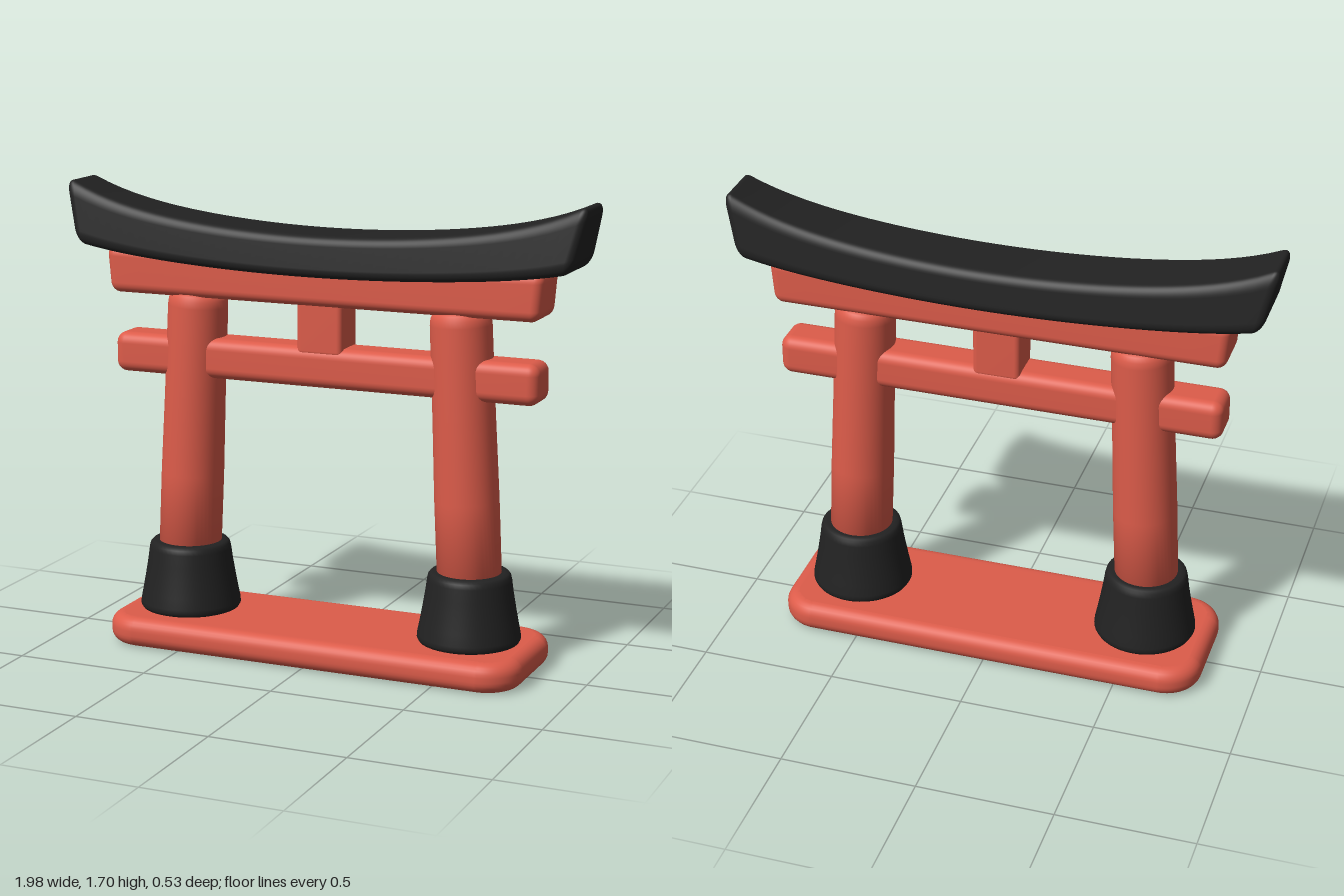
import * as THREE from 'three';
import { mergeVertices } from 'three/addons/utils/BufferGeometryUtils.js';

// Weld all seams and recompute smooth normals.
function smooth(geo) {
  geo.deleteAttribute('uv');
  geo.deleteAttribute('normal');
  const welded = mergeVertices(geo, 1e-5);
  welded.computeVertexNormals();
  return welded;
}

// Rounded block with lengthwise segments, optionally reshaped by a rule.
function roundedBlock(w, h, d, r, along = 1, bend = null) {
  const k = 5;
  const half = [w / 2, h / 2, d / 2];
  const segs = [along + 2 * k, 1 + 2 * k, 1 + 2 * k];
  const geo = new THREE.BoxGeometry(1, 1, 1, ...segs);
  const pos = geo.attributes.position;
  const p = new THREE.Vector3();
  const q = new THREE.Vector3();
  const place = (u, axis) => {
    const n = segs[axis], H = half[axis], i = Math.round((u + 0.5) * n);
    if (i <= k) return -H + (r * i) / k;
    if (i >= n - k) return H - (r * (n - i)) / k;
    return -H + r + (2 * (H - r) * (i - k)) / (n - 2 * k);
  };
  const inner = new THREE.Vector3(half[0] - r, half[1] - r, half[2] - r);
  const outer = inner.clone().negate();
  for (let i = 0; i < pos.count; i++) {
    p.set(place(pos.getX(i), 0), place(pos.getY(i), 1), place(pos.getZ(i), 2));
    q.copy(p).clamp(outer, inner);
    p.sub(q).normalize().multiplyScalar(r).add(q);
    if (bend) bend(p);
    pos.setXYZ(i, p.x, p.y, p.z);
  }
  return smooth(geo);
}

function lathe(points) {
  const profile = points.map(([x, y]) => new THREE.Vector2(x, y));
  return new THREE.LatheGeometry(profile, 48);
}

export function createModel() {
  const group = new THREE.Group();
  const red = new THREE.MeshStandardMaterial({ color: 0xdd5c4a });
  red.name = 'vermilion';
  const black = new THREE.MeshStandardMaterial({ color: 0x222222 });
  black.name = 'charcoal';

  const add = (name, geo, mat, x = 0, y = 0, z = 0) => {
    const mesh = new THREE.Mesh(geo, mat);
    mesh.name = name;
    mesh.position.set(x, y, z);
    group.add(mesh);
    return mesh;
  };

  // Ground slab with rounded plan corners and soft rims
  const bevel = 0.046, X = 0.805 - bevel, Z = 0.265 - bevel, c = 0.09;
  const plan = new THREE.Shape();
  plan.absarc(X - c, Z - c, c, 0, Math.PI / 2);
  plan.absarc(-X + c, Z - c, c, Math.PI / 2, Math.PI);
  plan.absarc(-X + c, -Z + c, c, Math.PI, Math.PI * 1.5);
  plan.absarc(X - c, -Z + c, c, Math.PI * 1.5, Math.PI * 2);
  const slab = new THREE.ExtrudeGeometry(plan, {
    depth: 0.11 - 2 * bevel, bevelSize: bevel, bevelThickness: bevel, bevelSegments: 6, curveSegments: 10,
  });
  slab.rotateX(-Math.PI / 2);
  add('groundSlab', smooth(slab), red, 0, bevel, 0);

  // Pillars leaning inward, each in a flared plinth
  const pillarGeo = lathe([
    [0, 0], [0.116, 0], [0.116, 0.3], [0.112, 0.6], [0.11, 0.93],
    [0.107, 0.955], [0.098, 0.972], [0.085, 0.98], [0, 0.98],
  ]);
  const plinthGeo = lathe([
    [0, 0], [0.17, 0], [0.181, 0.004], [0.187, 0.015], [0.186, 0.03], [0.178, 0.07], [0.168, 0.125],
    [0.158, 0.185], [0.152, 0.23], [0.148, 0.247], [0.14, 0.256], [0.125, 0.259], [0, 0.259],
  ]);
  for (const [side, s] of [['left', 1], ['right', -1]]) {
    add(side + 'Pillar', pillarGeo, red, s * 0.555, 0.33, 0).rotation.z = s * 0.047;
    add(side + 'Plinth', plinthGeo, black, s * 0.555, 0.11, 0);
  }

  // Tie beam through the pillars and the short strut above it
  add('tieBeam', roundedBlock(1.64, 0.148, 0.16, 0.04, 8), red, 0, 1.073, 0);
  add('centreStrut', roundedBlock(0.175, 0.22, 0.15, 0.02), red, 0, 1.225, 0);

  // Lower lintel, ends slanting outward to the top
  add('lowerLintel', roundedBlock(1.68, 0.16, 0.2, 0.035, 16, (p) => {
    p.x *= 1 - 0.018 * (0.5 - p.y / 0.16);
    p.y += 0.02 * p.x * p.x * (0.5 + p.y / 0.16);
  }), red, 0, 1.378, 0);

  // Curved top beam: upswept ends, narrower towards the top
  add('curvedTopBeam', roundedBlock(2, 0.15, 0.29, 0.035, 40, (p) => {
    const v = p.y / 0.15 + 0.5;
    p.x *= 1 - 0.055 * (1 - v);
    const x2 = p.x * p.x;
    const bottom = 1.408 + 0.065 * x2 + 0.02 * x2 ** 4;
    const top = 1.556 + 0.11 * x2 + 0.05 * x2 ** 3;
    p.y = bottom + v * (top - bottom);
    p.z *= (0.147 - 0.15 * (p.y - 1.41)) / 0.145;
  }), black);

  return group;
}
